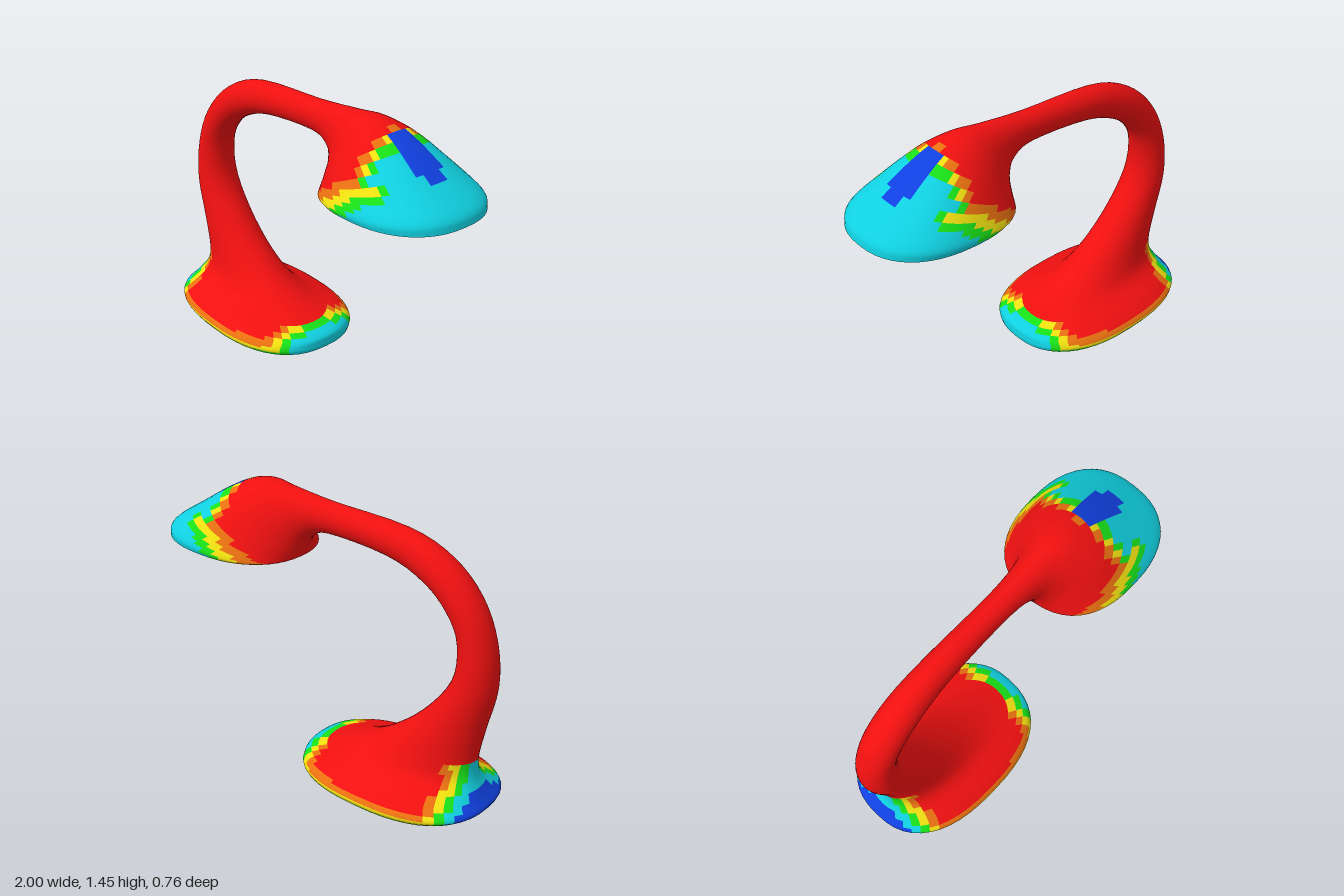
import * as THREE from 'three';

// zone colours, running from plain shell to the outer ends
const ZONES = [
  ['Red', 0xf01010], ['Orange', 0xe87010], ['Yellow', 0xf0e010],
  ['Green', 0x18e018], ['Cyan', 0x10d0e0], ['Blue', 0x1040e0],
];
const MATERIALS = ZONES.map(([, color]) => new THREE.MeshStandardMaterial({ color, side: THREE.DoubleSide }));
const RING = 48;
const clamp = THREE.MathUtils.clamp;

// Sections are [outerX, outerY, innerX, innerY, halfWidth]: each ring is an
// oval between the outer and the inner edge, squarer where it is wide.
function loft(name, sections, steps, zoneOf) {
  const curve = (f) => new THREE.CatmullRomCurve3(sections.map(f), false, 'catmullrom', 0.5);
  const outer = curve((s) => new THREE.Vector3(s[0], s[1], 0));
  const inner = curve((s) => new THREE.Vector3(s[2], s[3], s[4]));
  const rows = (sections.length - 1) * steps;
  const pos = [];
  for (let i = 0; i <= rows; i++) {
    const o = outer.getPoint(i / rows), n = inner.getPoint(i / rows);
    const power = 2 / (2 + clamp((n.z - 0.15) * 2, 0, 0.5));
    for (let j = 0; j < RING; j++) {
      const a = (j / RING) * Math.PI * 2;
      const c = Math.sign(Math.cos(a)) * Math.abs(Math.cos(a)) ** power;
      const s = Math.sign(Math.sin(a)) * Math.abs(Math.sin(a)) ** power;
      pos.push((o.x + n.x + c * (o.x - n.x)) / 2, (o.y + n.y + c * (o.y - n.y)) / 2, s * n.z);
    }
  }
  const index = [], byZone = ZONES.map(() => []);
  for (let i = 0; i < rows; i++) {
    for (let j = 0; j < RING; j++) {
      const a = i * RING + j, b = i * RING + (j + 1) % RING, c = b + RING, d = a + RING;
      const mid = [0, 1, 2].map((m) => (pos[a * 3 + m] + pos[b * 3 + m] + pos[c * 3 + m] + pos[d * 3 + m]) / 4);
      index.push(a, b, c, a, c, d);
      byZone[clamp(Math.round(zoneOf(...mid)), 0, 5)].push(a, b, c, a, c, d);
    }
  }
  const whole = new THREE.BufferGeometry();
  whole.setAttribute('position', new THREE.Float32BufferAttribute(pos, 3));
  whole.setIndex(index);
  whole.computeVertexNormals();

  // one mesh per colour, sharing the smooth normals of the whole loft
  const group = new THREE.Group();
  group.name = name;
  byZone.forEach((faces, z) => {
    if (!faces.length) return;
    const mesh = new THREE.Mesh(whole.clone().setIndex(faces).toNonIndexed(), MATERIALS[z]);
    mesh.name = name + ZONES[z][0];
    group.add(mesh);
  });
  return group;
}

// colour zone of a point on the outer shell
function shellZone(x, y, z) {
  if (y < 0.28) {
    const back = Math.min(5, (-0.78 - x) / 0.035);
    const rim = Math.min(3, (0.09 - y) / 0.025);
    const front = y < 0.12 ? Math.min(Math.abs(z) > 0.2 ? 3 : 4, (x + 0.13) / 0.04) : 0;
    return Math.max(back, rim, front);
  }
  if (x > 0.18 && y > 1.05) {
    if (Math.abs(z) < 0.07 && x > 0.57 && x < 0.85) return 5;
    const edge = 0.53 - 1.6 * Math.max(0, 1.25 - y);
    return Math.min(4, (x - edge) / (y > 1.25 ? 0.03 : 0.09) + 0.5);
  }
  return 0;
}

export function createModel() {
  const lamp = new THREE.Group();
  lamp.name = 'deskLamp';
  const baseEdge = [-0.96, 0.02, 0.075, 0.015, 0.365];
  const hoodRim = [1, 1.1, 0.21, 1.075, 0.335];

  // base edge, flared foot, curved arm and hood in one sweep
  lamp.add(loft('shell', [
    baseEdge,
    [-1, 0.06, 0.075, 0.045, 0.378],
    [-0.965, 0.11, 0.05, 0.09, 0.325],
    [-0.92, 0.19, -0.14, 0.155, 0.205],
    [-0.91, 0.29, -0.36, 0.265, 0.155],
    [-0.94, 0.46, -0.59, 0.46, 0.128],
    [-0.988, 0.7, -0.76, 0.7, 0.112],
    [-0.965, 0.93, -0.78, 0.91, 0.1],
    [-0.87, 1.14, -0.715, 1.045, 0.097],
    [-0.7, 1.3, -0.58, 1.155, 0.09],
    [-0.45, 1.39, -0.36, 1.228, 0.077],
    [0, 1.415, 0, 1.25, 0.07],
    [0.27, 1.44, 0.12, 1.205, 0.095],
    [0.43, 1.45, 0.165, 1.14, 0.15],
    [0.6, 1.395, 0.183, 1.103, 0.225],
    [0.83, 1.255, 0.194, 1.08, 0.305],
    [0.975, 1.16, 0.2, 1.075, 0.34],
    hoodRim,
  ], 4, shellZone));

  // slightly domed underside of the base, from its middle to the edge
  lamp.add(loft('baseUnderside', [[-0.3, 0, -0.3, 0, 0], baseEdge], 8,
    (x) => (Math.abs(x + 0.46) > 0.36 ? 5 : 3)));

  // hollow inside of the hood, from the rim inwards
  lamp.add(loft('hoodInside', [
    hoodRim,
    [0.9, 1.16, 0.24, 1.13, 0.28],
    [0.7, 1.3, 0.26, 1.2, 0.18],
    [0.44, 1.35, 0.44, 1.35, 0],
  ], 4, (x, y) => (y > 1.19 ? 5 : 3)));

  return lamp;
}
